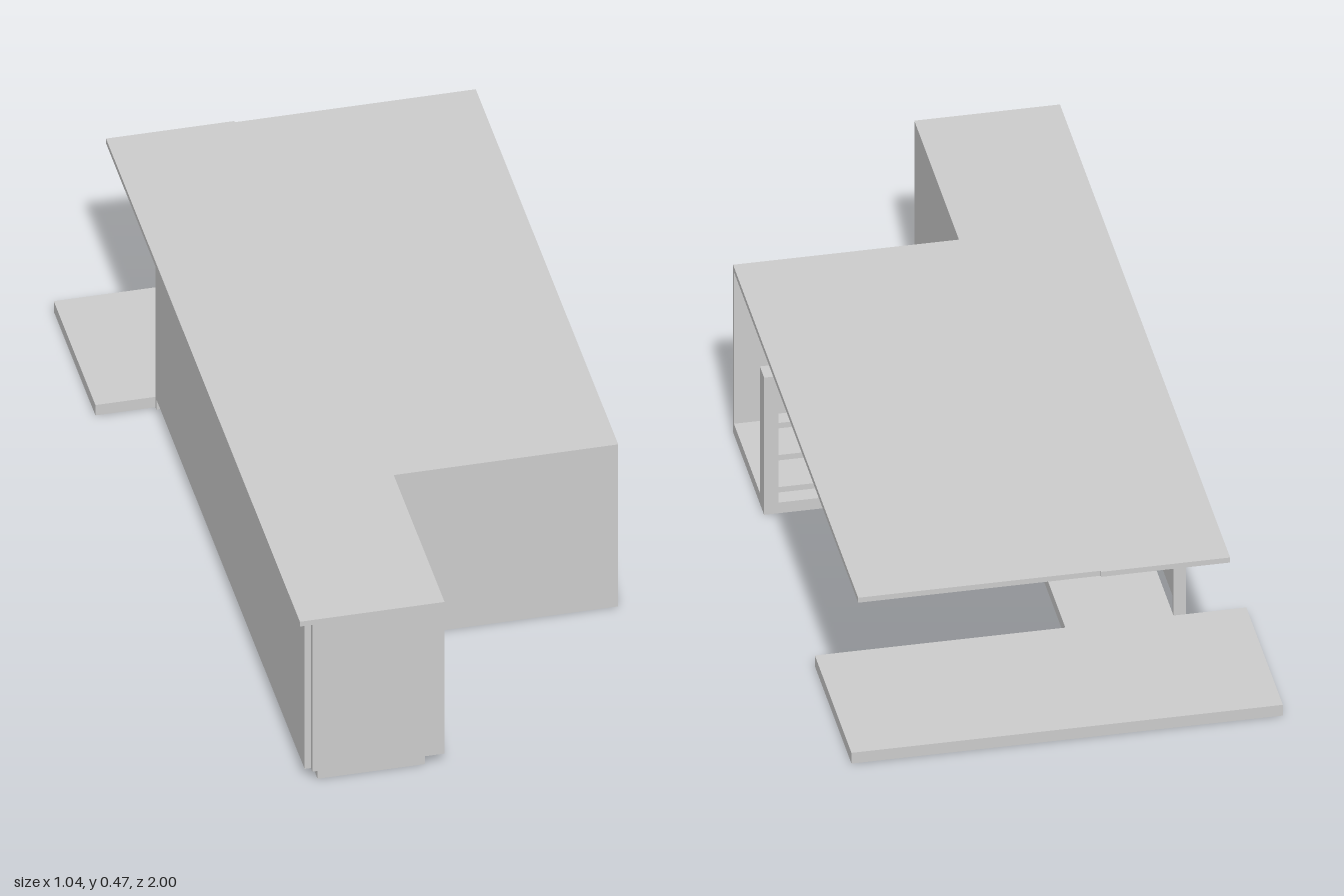
import * as THREE from 'three';

const material = new THREE.MeshStandardMaterial({ color: 0xcccccc, flatShading: true });

export function createModel() {
  const house = new THREE.Group();
  house.name = 'house';

  // Box given by its minimum and maximum corners
  function box(name, [x0, y0, z0], [x1, y1, z1], parent = house) {
    const mesh = new THREE.Mesh(new THREE.BoxGeometry(x1 - x0, y1 - y0, z1 - z0), material);
    mesh.position.set((x0 + x1) / 2, (y0 + y1) / 2, (z0 + z1) / 2);
    mesh.name = name;
    parent.add(mesh);
  }

  // Flat slab from an outline of [x, z] points, between two heights
  function slab(name, outline, y0, y1) {
    const shape = new THREE.Shape(outline.map(([x, z]) => new THREE.Vector2(x, -z)));
    const geometry = new THREE.ExtrudeGeometry(shape, { depth: y1 - y0, bevelEnabled: false });
    geometry.rotateX(-Math.PI / 2);
    const mesh = new THREE.Mesh(geometry, material);
    mesh.position.y = y0;
    mesh.name = name;
    house.add(mesh);
  }

  // Roof and floor: the floor joins back terrace, corridor, side room and front room
  slab('roof', [
    [-0.39, 1], [-0.04, 1], [-0.04, 0.475], [0.503, 0.475],
    [0.503, -0.995], [-0.08, -0.995], [-0.08, -1], [-0.39, -1],
  ], 0.456, 0.47);
  slab('floor', [
    [-0.345, 0.99], [-0.085, 0.99], [-0.085, 0.465], [0.503, 0.465], [0.503, 0.11],
    [-0.085, 0.11], [-0.085, -0.555], [0.517, -0.555], [0.517, -0.985],
    [-0.52, -0.985], [-0.52, -0.555], [-0.345, -0.555],
  ], 0, 0.03);

  // Walls
  box('longSideWall', [-0.375, 0.03, -0.545], [-0.36, 0.456, 0.985]);
  box('longWallEnd', [-0.375, 0, -0.555], [-0.345, 0.456, -0.545]);
  box('frontWall', [-0.36, 0.03, 0.985], [-0.04, 0.456, 1]);
  box('frontRoomSideWall', [-0.085, 0.03, 0.475], [-0.04, 0.456, 0.985]);
  box('sideRoomFrontWall', [-0.085, 0, 0.465], [0.503, 0.456, 0.475]);

  // Open shelf between two posts at the back of the side room
  const shelf = new THREE.Group();
  shelf.name = 'shelf';
  house.add(shelf);
  for (const x of [-0.085, 0.468]) {
    box('shelfPost', [x, 0, 0.11], [x + 0.035, 0.385, 0.16], shelf);
  }
  for (let i = 0; i < 4; i++) {
    const y = 0.055 + i * 0.09;
    box('shelfBoard', [-0.05, y, 0.115], [0.468, y + 0.015, 0.155], shelf);
  }

  return house;
}
